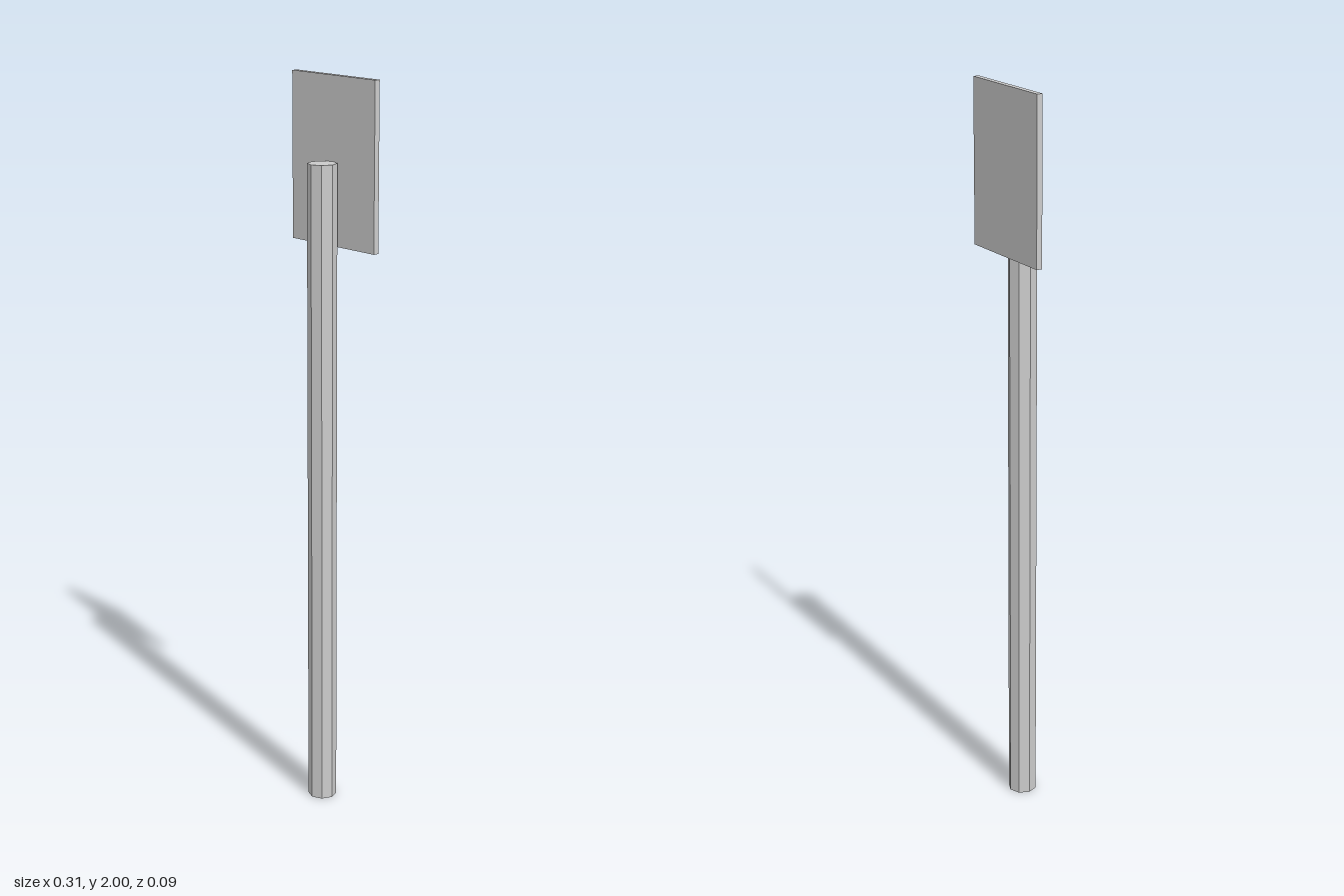
import * as THREE from 'three';

export function createModel() {
  const model = new THREE.Group();
  model.name = 'signpost';

  // Eight-sided pole, closed on top and open at the foot
  const radius = 0.039, height = 1.78;
  const profile = [[radius, 0], [radius, height], [0, height]].map(([x, y]) => new THREE.Vector2(x, y));
  const pole = new THREE.Mesh(
    new THREE.LatheGeometry(profile, 8),
    new THREE.MeshStandardMaterial({ color: 0xcccccc, flatShading: true, side: THREE.DoubleSide })
  );
  pole.name = 'pole';
  pole.position.z = 0.006;
  model.add(pole);

  // Thin sign panel fixed behind the top of the pole
  const panel = new THREE.Mesh(
    new THREE.BoxGeometry(0.306, 0.44, 0.016),
    new THREE.MeshStandardMaterial({ color: 0xcccccc, flatShading: true })
  );
  panel.name = 'signPanel';
  panel.position.set(0, 1.78, -0.039);
  model.add(panel);

  return model;
}
